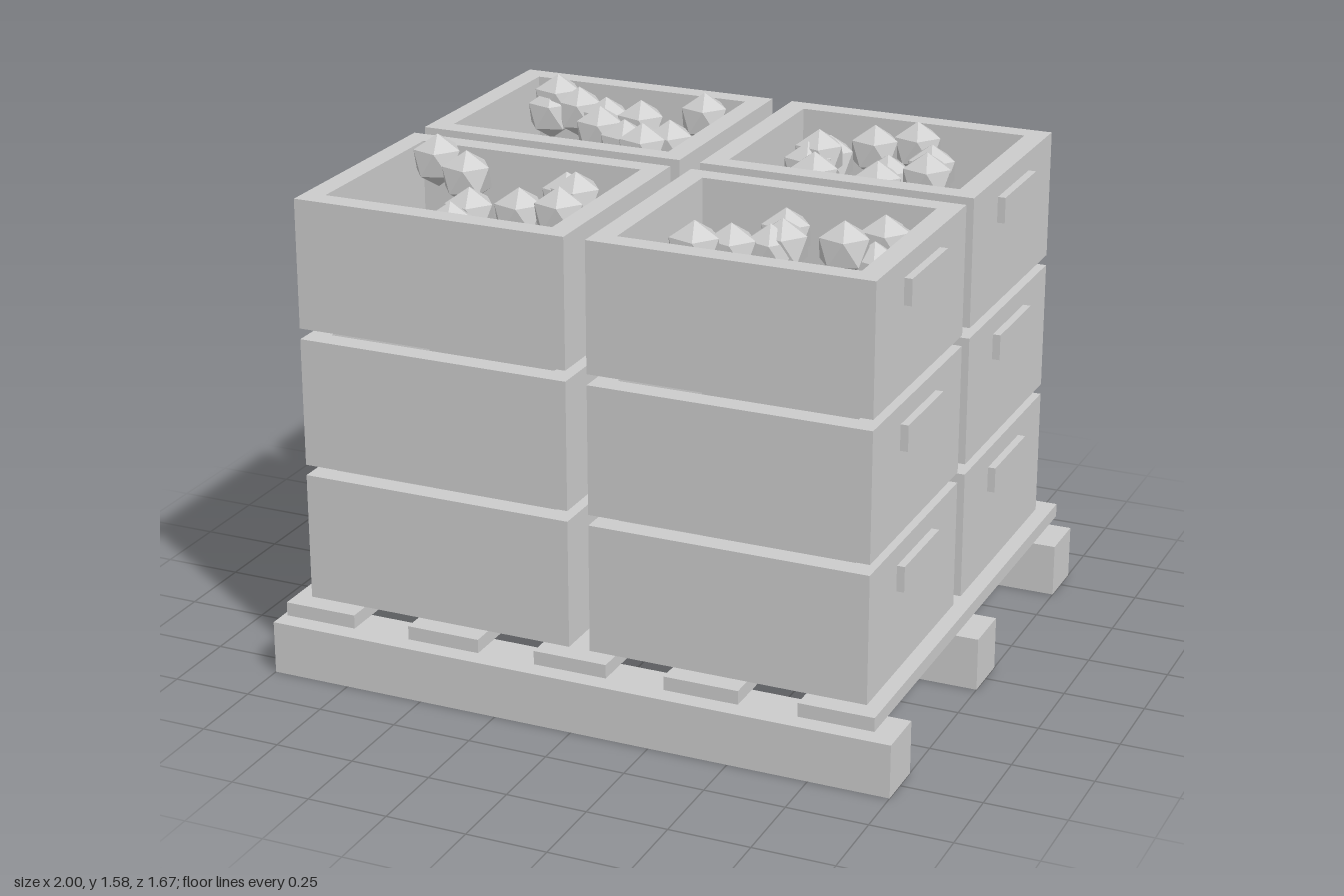
import * as THREE from 'three';

const material = new THREE.MeshStandardMaterial({ color: 0xcccccc, flatShading: true });

const CRATE = { w: 0.867, h: 0.4, d: 0.733, wall: 0.067, x: 0.467, z: 0.4 };
const STACK_BASE = 0.243;
const STACK_STEP = 0.4335;

function addMesh(parent, name, geometry, x, y, z) {
  const mesh = new THREE.Mesh(geometry, material);
  mesh.name = name;
  mesh.position.set(x, y, z);
  parent.add(mesh);
  return mesh;
}

function rectangle(PathType, w, d) {
  return new PathType([
    new THREE.Vector2(-w / 2, -d / 2), new THREE.Vector2(w / 2, -d / 2),
    new THREE.Vector2(w / 2, d / 2), new THREE.Vector2(-w / 2, d / 2),
  ]);
}

// Three long runners carrying five cross slats
function createPallet() {
  const pallet = new THREE.Group();
  pallet.name = 'pallet';
  const runner = new THREE.BoxGeometry(2, 0.167, 0.167);
  const slat = new THREE.BoxGeometry(0.233, 0.043, 1.667);
  for (const z of [-0.75, 0, 0.75]) addMesh(pallet, 'runner', runner, 0, 0.0835, z);
  for (let i = -2; i <= 2; i++) addMesh(pallet, 'slat', slat, i * 0.4167, 0.2215, 0);
  return pallet;
}

// Open box: hollow wall frame, floor, and a grip on each end
const innerW = CRATE.w - 2 * CRATE.wall;
const innerD = CRATE.d - 2 * CRATE.wall;
const frameShape = rectangle(THREE.Shape, CRATE.w, CRATE.d);
frameShape.holes.push(rectangle(THREE.Path, innerW, innerD));
const wallGeometry = new THREE.ExtrudeGeometry(frameShape, { depth: CRATE.h, bevelEnabled: false });
wallGeometry.rotateX(-Math.PI / 2);
const floorGeometry = new THREE.BoxGeometry(innerW, CRATE.wall, innerD);
const handleGeometry = new THREE.BoxGeometry(0.033, 0.08, 0.29);

function createCrate() {
  const crate = new THREE.Group();
  crate.name = 'crate';
  addMesh(crate, 'crateWalls', wallGeometry, 0, 0, 0);
  addMesh(crate, 'crateFloor', floorGeometry, 0, CRATE.wall / 2, 0);
  for (const side of [-1, 1]) {
    addMesh(crate, 'handle', handleGeometry, side * (CRATE.w / 2 + 0.0075), 0.3, 0);
  }
  return crate;
}

// Faceted produce, one corner pointing up: [x, y, z] per piece, by crate
const produceGeometry = new THREE.IcosahedronGeometry(0.083, 0);
produceGeometry.rotateZ(-Math.atan(2 / (1 + Math.sqrt(5))));
const produce = {
  backRight: [
    [-0.69, 1.49, -0.55], [-0.61, 1.46, -0.54], [-0.51, 1.44, -0.53], [-0.2, 1.47, -0.605], [-0.7, 1.45, -0.52],
    [-0.44, 1.47, -0.335], [-0.335, 1.48, -0.415], [-0.205, 1.45, -0.345], [-0.3, 1.475, -0.215], [-0.225, 1.48, -0.185],
  ],
  backLeft: [
    [0.4, 1.45, -0.55], [0.52, 1.46, -0.605], [0.61, 1.43, -0.485], [0.49, 1.4, -0.425], [0.3, 1.44, -0.425],
    [0.32, 1.5, -0.28], [0.3, 1.47, -0.24], [0.345, 1.46, -0.18], [0.54, 1.45, -0.2], [0.69, 1.49, -0.215],
  ],
  frontRight: [
    [-0.73, 1.49, 0.2], [-0.585, 1.48, 0.29], [-0.26, 1.45, 0.275], [-0.18, 1.49, 0.38], [-0.17, 1.44, 0.4],
    [-0.19, 1.47, 0.47], [-0.335, 1.44, 0.44], [-0.47, 1.44, 0.495], [-0.485, 1.42, 0.585],
  ],
  frontLeft: [
    [0.415, 1.41, 0.215], [0.74, 1.4, 0.185], [0.765, 1.47, 0.335], [0.77, 1.42, 0.43], [0.69, 1.48, 0.46],
    [0.49, 1.45, 0.425], [0.465, 1.44, 0.455], [0.385, 1.46, 0.55], [0.305, 1.42, 0.52], [0.305, 1.48, 0.625],
  ],
};

export function createModel() {
  const model = new THREE.Group();
  model.name = 'loadedPallet';
  model.add(createPallet());

  // Four stacks, three crates high
  for (const sx of [-1, 1]) {
    for (const sz of [-1, 1]) {
      const stack = new THREE.Group();
      stack.name = 'crateStack';
      for (let level = 0; level < 3; level++) {
        const crate = createCrate();
        crate.position.set(sx * CRATE.x, STACK_BASE + level * STACK_STEP, sz * CRATE.z);
        stack.add(crate);
      }
      model.add(stack);
    }
  }

  // Contents of the top crates
  for (const [corner, pieces] of Object.entries(produce)) {
    const group = new THREE.Group();
    group.name = `${corner}Produce`;
    for (const [x, y, z] of pieces) addMesh(group, 'producePiece', produceGeometry, x, y, z);
    model.add(group);
  }
  return model;
}
